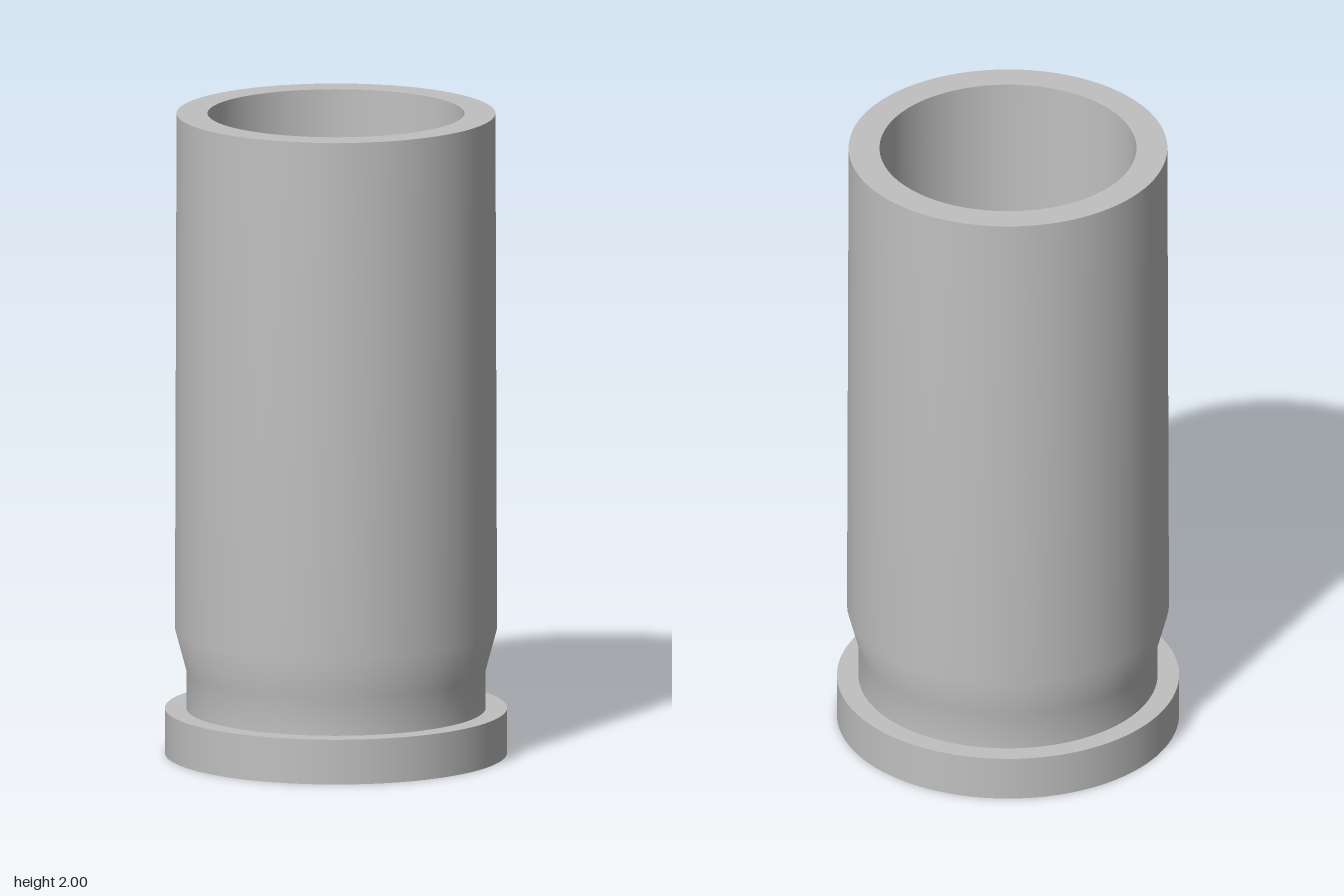
import * as THREE from 'three';

const SEGMENTS = 96;

export function createModel() {
  const model = new THREE.Group();
  model.name = 'casing';

  const metal = new THREE.MeshStandardMaterial({ color: 0xc0c0c0 });
  metal.name = 'grey metal';

  // Each [radius, height] run is smooth; edges between runs stay sharp.
  const surface = (name, profile) => {
    const points = profile.map(([r, y]) => new THREE.Vector2(r, y));
    const mesh = new THREE.Mesh(new THREE.LatheGeometry(points, SEGMENTS), metal);
    mesh.name = name;
    model.add(mesh);
  };

  // Base flange
  surface('baseUnderside', [[0, 0], [0.526, 0]]);
  surface('flangeSide', [[0.526, 0], [0.526, 0.14]]);
  surface('flangeTop', [[0.526, 0.14], [0.46, 0.14]]);

  // Groove flaring out into the slightly tapered wall
  surface('outerWall', [[0.46, 0.14], [0.46, 0.26], [0.495, 0.39], [0.49, 2]]);

  // Open mouth and hollow interior
  surface('mouthRim', [[0.49, 2], [0.395, 2]]);
  surface('innerWall', [[0.395, 2], [0.369, 0.26]]);
  surface('innerFloor', [[0.369, 0.26], [0, 0.26]]);

  return model;
}
